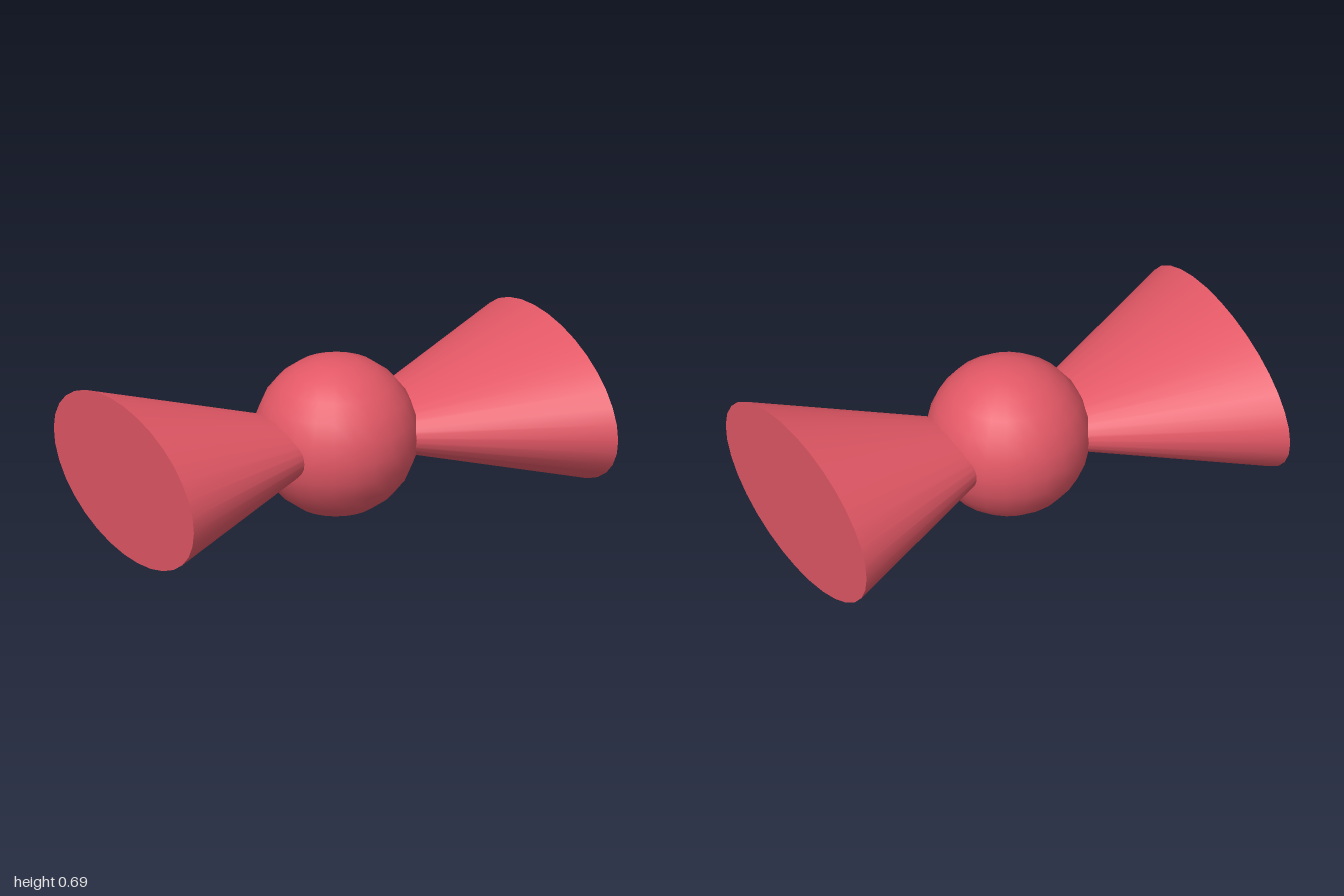
import * as THREE from 'three';

const RADIUS = 0.344;   // centre ball, also the height of its centre
const INNER_X = 0.1;    // flare start, hidden inside the ball
const FLARE_Y = 0.335;  // outer half height of a flare
const FLARE_Z = 0.613;  // outer half depth of a flare
const TAPER = 0.205;    // inner size relative to outer

export function createModel() {
  const group = new THREE.Group();
  const red = new THREE.MeshStandardMaterial({ color: 0xe35866 });
  red.name = 'bow red';

  // Round knot in the middle
  const knot = new THREE.Mesh(new THREE.SphereGeometry(RADIUS, 24, 12), red);
  knot.name = 'knot';
  knot.position.y = RADIUS;
  group.add(knot);

  // Two oval cones flaring outwards, closed by flat ends
  for (const side of [1, -1]) {
    const length = 1 - INNER_X;
    const geometry = new THREE.CylinderGeometry(1, TAPER, length, 32);
    geometry.scale(FLARE_Y, 1, FLARE_Z);
    geometry.rotateZ(-side * Math.PI / 2);
    const flare = new THREE.Mesh(geometry, red);
    flare.name = side > 0 ? 'leftFlare' : 'rightFlare';
    flare.position.set(side * (INNER_X + length / 2), RADIUS, 0);
    group.add(flare);
  }
  return group;
}
